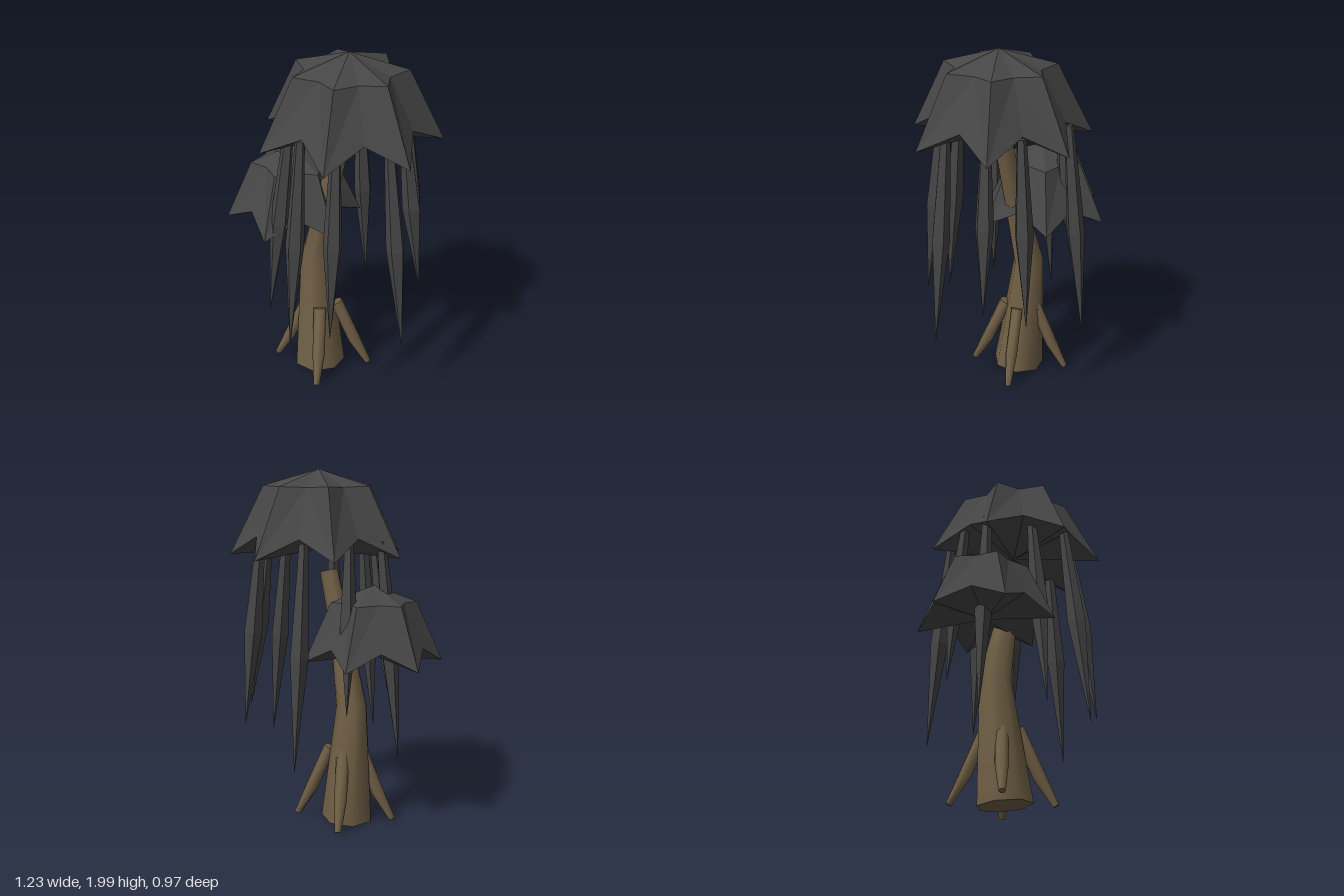
import * as THREE from 'three';

const bark = new THREE.MeshStandardMaterial({ color: 0x716046 });
bark.name = 'bark brown';
const foliage = new THREE.MeshStandardMaterial({ color: 0x464646 });
foliage.name = 'foliage grey';

function makeGeometry(positions, index, flat) {
  let g = new THREE.BufferGeometry();
  g.setAttribute('position', new THREE.Float32BufferAttribute(positions, 3));
  g.setIndex(index);
  if (flat) g = g.toNonIndexed();
  g.computeVertexNormals();
  return g;
}

// Closed tapering limb through [x, y, z, radius] stations
function loft(stations, sides, flat, spin = 0) {
  const pts = stations.map(s => new THREE.Vector3(s[0], s[1], s[2]));
  const pos = [], idx = [], rings = [];
  const last = pts.length - 1;
  pts.forEach((p, i) => {
    const t = pts[Math.min(i + 1, last)].clone().sub(pts[Math.max(i - 1, 0)]).normalize();
    const u = t.clone().cross(new THREE.Vector3(0, 0, 1)).normalize();
    const v = t.clone().cross(u);
    const ring = [];
    for (let j = 0; j < sides; j++) {
      const a = spin + j / sides * Math.PI * 2;
      ring.push(p.clone().addScaledVector(u, Math.cos(a) * stations[i][3])
        .addScaledVector(v, Math.sin(a) * stations[i][3]));
    }
    rings.push(ring);
    ring.forEach(q => pos.push(q.x, q.y, q.z));
  });
  for (let i = 0; i < last; i++) {
    for (let j = 0; j < sides; j++) {
      const k = (j + 1) % sides, a = i * sides, b = a + sides;
      idx.push(a + j, a + k, b + k, a + j, b + k, b + j);
    }
  }
  // caps with their own corners, so the rim stays sharp
  for (const end of [0, last]) {
    const c = pos.length / 3;
    pos.push(pts[end].x, pts[end].y, pts[end].z);
    rings[end].forEach(q => pos.push(q.x, q.y, q.z));
    for (let j = 0; j < sides; j++) {
      const a = c + 1 + j, b = c + 1 + (j + 1) % sides;
      if (end === 0) idx.push(c, b, a); else idx.push(c, a, b);
    }
  }
  return makeGeometry(pos, idx, flat);
}

// Star-shaped canopy: apex, shoulder ring, drooping hem and a closed underside
function canopy(o) {
  const n = o.points * 2, pos = [], idx = [];
  pos.push(o.x, o.top, o.z);
  for (const r of [o.shoulder, o.hem]) {
    for (let j = 0; j < n; j++) {
      const a = o.turn + j / n * Math.PI * 2, odd = j % 2;
      pos.push(o.x + Math.cos(a) * r.r[odd], r.y[odd], o.z - Math.sin(a) * r.r[odd]);
    }
  }
  pos.push(o.x, o.under, o.z);
  const bottom = 1 + 2 * n;
  for (let j = 0; j < n; j++) {
    const k = (j + 1) % n, a = 1 + j, b = 1 + k, c = a + n, d = b + n;
    idx.push(0, a, b, bottom, d, c);
    // fold each panel the same way on both sides of a point
    if (j % 2) idx.push(a, c, d, a, d, b); else idx.push(a, c, b, b, c, d);
  }
  return makeGeometry(pos, idx, true);
}

export function createModel() {
  const model = new THREE.Group();
  const add = (geometry, material, name, parent = model) => {
    const mesh = new THREE.Mesh(geometry, material);
    mesh.name = name;
    parent.add(mesh);
  };

  // Crooked trunk
  add(loft([
    [-0.055, 0.025, 0.085, 0.15],
    [-0.113, 0.7, 0.07, 0.088],
    [-0.015, 1.1, 0.065, 0.06],
    [0.067, 1.443, 0.04, 0.053],
  ], 7, false), bark, 'trunk');

  // Four buttress roots on the diagonals
  const roots = new THREE.Group();
  roots.name = 'roots';
  model.add(roots);
  for (const sx of [-1, 1]) {
    for (const sz of [-1, 1]) {
      add(loft([
        [-0.05 + sx * 0.2, 0.03, 0.065 + sz * 0.19, 0.018],
        [-0.05 + sx * 0.14, 0.19, 0.065 + sz * 0.13, 0.036],
        [-0.055 + sx * 0.062, 0.44, 0.065 + sz * 0.06, 0.036],
      ], 6, false), bark, 'root', roots);
    }
  }

  // Tall seven-pointed canopy and low six-pointed canopy
  add(canopy({
    points: 7, turn: 0, x: 0.114, z: 0.005, top: 2, under: 1.56,
    shoulder: { r: [0.31, 0.23], y: [1.91, 1.905] },
    hem: { r: [0.5, 0.365], y: [1.53, 1.64] },
  }), foliage, 'upperCanopy');
  add(canopy({
    points: 6, turn: 0, x: -0.24, z: 0.12, top: 1.385, under: 1.0,
    shoulder: { r: [0.235, 0.175], y: [1.295, 1.3] },
    hem: { r: [0.38, 0.285], y: [0.968, 1.06] },
  }), foliage, 'lowerCanopy');

  // Hanging fronds: attachment x, z, then tip x, y, z
  const fronds = new THREE.Group();
  fronds.name = 'hangingFronds';
  model.add(fronds);
  [
    [0.165, 0.35, 0.2, 0.45, 0.465],
    [-0.03, 0.28, -0.08, 0.5, 0.41],
    [0.33, 0.25, 0.405, 0.55, 0.345],
    [0.44, 0, 0.56, 0.42, -0.03],
    [0.19, -0.33, 0.22, 0.6, -0.425],
    [-0.14, -0.27, -0.19, 0.41, -0.37],
    [0.32, -0.2, 0.4, 0.65, -0.28],
    [-0.24, -0.05, -0.3, 0.7, -0.105],
    [-0.26, 0.15, -0.365, 0.43, 0.2],
  ].forEach(([x, z, tx, ty, tz], i) => {
    const at = (t, r) => [x + (tx - x) * t, 1.62 + (ty - 1.62) * t, z + (tz - z) * t, r];
    add(loft([at(1, 0.001), at(0.5, 0.052), at(0, 0.026)], 5, true, i * 1.3),
      foliage, 'frond', fronds);
  });
  return model;
}
